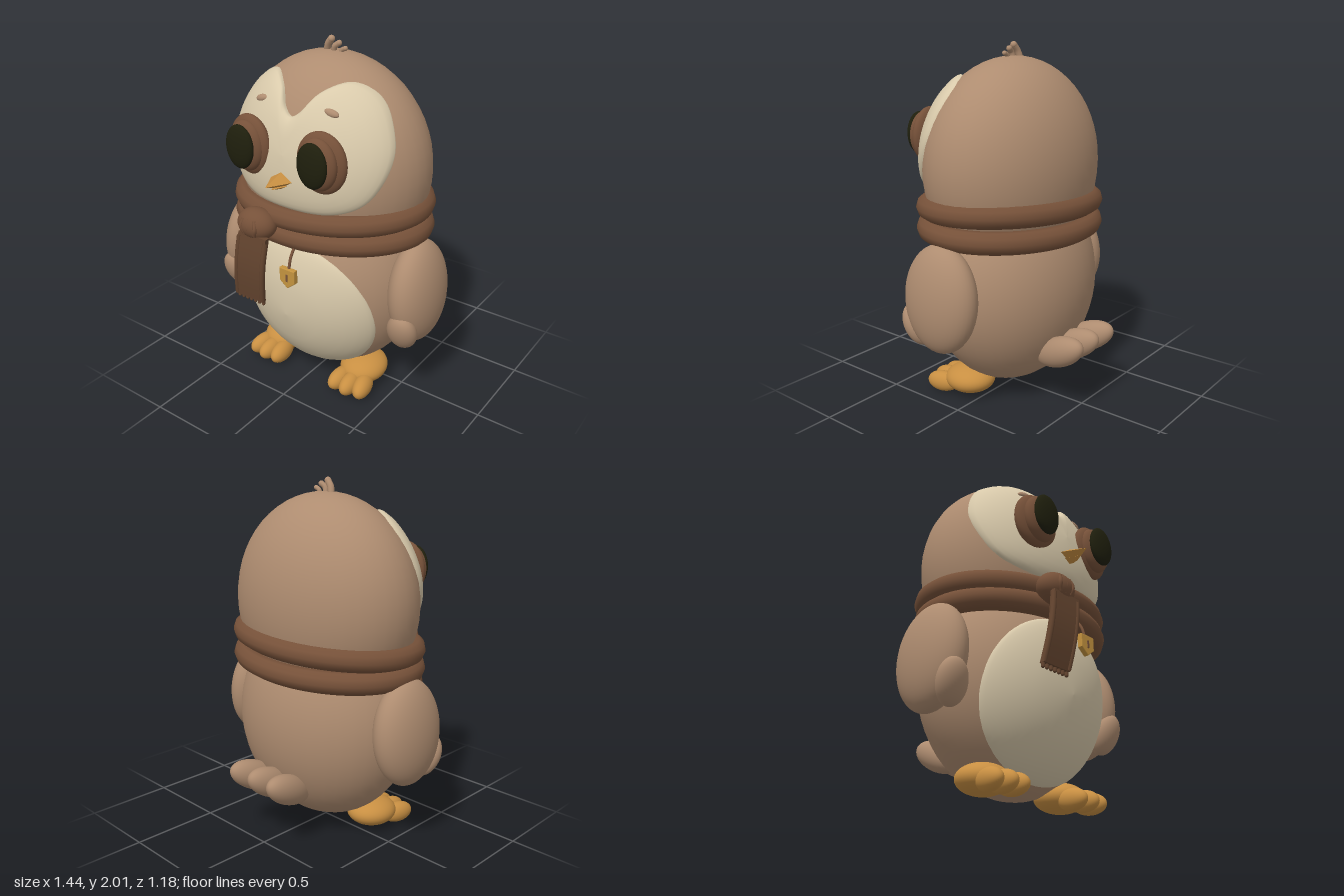
import * as THREE from 'three';

const mat = (name, color, side = THREE.FrontSide) => {
  const m = new THREE.MeshStandardMaterial({ color, side });
  m.name = name;
  return m;
};

export function createModel() {
  const root = new THREE.Group();
  root.name = 'owlChick';
  const brown = mat('featherBrown', 0xae8c70);
  const cream = mat('cream', 0xd9caab, THREE.DoubleSide);
  const scarfBrown = mat('scarfBrown', 0x765139);
  const tailBrown = mat('scarfTailBrown', 0x664630);
  const dark = mat('pupilDark', 0x1f1f0d);
  const orange = mat('orange', 0xc88f42);
  const gold = mat('gold', 0xc4933f);

  const add = (name, geo, material, parent = root) => {
    const mesh = new THREE.Mesh(geo, material);
    mesh.name = name;
    parent.add(mesh);
    return mesh;
  };
  const ball = (name, material, pos, radii, rot = [0, 0, 0], parent = root) => {
    const m = add(name, new THREE.SphereGeometry(1, 40, 28), material, parent);
    m.position.set(...pos);
    m.scale.set(...radii);
    m.rotation.set(...rot);
    return m;
  };
  const tube = (name, material, pts, radius, closed = false, seg = 24, parent = root) => {
    const curve = new THREE.CatmullRomCurve3(pts.map(p => new THREE.Vector3(...p)), closed);
    return add(name, new THREE.TubeGeometry(curve, seg, radius, 10, closed), material, parent);
  };

  // Raised patch: an outline (counter-clockwise from the front) laid over an ellipsoid
  const patch = (name, outline, mid, base, lift) => {
    const rings = [0.001, 0.2, 0.4, 0.55, 0.7, 0.82, 0.9, 0.95, 0.985, 1];
    const n = outline.length, pos = [], idx = [];
    const { y: cy, r: [a, b, c] } = base;
    rings.forEach((t, j) => {
      const h = lift * (t === 1 ? -0.2 : Math.sqrt(1 - t ** 6));
      outline.forEach((p, i) => {
        const x = mid.x + t * (p.x - mid.x), y = mid.y + t * (p.y - mid.y) - cy;
        const z = c * Math.sqrt(Math.max(0.01, 1 - (x / a) ** 2 - (y / b) ** 2));
        const nrm = new THREE.Vector3(x / a ** 2, y / b ** 2, z / c ** 2).normalize();
        pos.push(x + nrm.x * h, y + cy + nrm.y * h, z + nrm.z * h);
        if (j < rings.length - 1) {
          const k = (i + 1) % n, A = j * n, B = A + n;
          idx.push(A + i, B + i, B + k, A + i, B + k, A + k);
        }
      });
    });
    const g = new THREE.BufferGeometry();
    g.setAttribute('position', new THREE.Float32BufferAttribute(pos, 3));
    g.setIndex(idx);
    g.computeVertexNormals();
    return add(name, g, cream);
  };

  // Body and head
  const body = { y: 0.655, r: [0.56, 0.6, 0.443] };
  const head = { y: 1.33, r: [0.585, 0.6, 0.425] };
  ball('body', brown, [0, body.y, 0], body.r);
  ball('head', brown, [0, head.y, 0], head.r);

  // Belly and heart-shaped face
  const belly = new THREE.EllipseCurve(0, 0.53, 0.455, 0.43).getPoints(96).slice(0, -1);
  patch('belly', belly, new THREE.Vector2(0, 0.53), body, 0.022);
  const half = [[0.27, 1.185], [0.41, 1.25], [0.485, 1.37], [0.505, 1.52], [0.435, 1.7],
    [0.34, 1.795], [0.23, 1.832], [0.12, 1.782], [0.05, 1.69]];
  const heart = [[0, 1.17], ...half, [0, 1.66], ...half.map(([x, y]) => [-x, y]).reverse()];
  const faceLine = new THREE.CatmullRomCurve3(heart.map(([x, y]) => new THREE.Vector3(x, y, 0)), true);
  patch('face', faceLine.getPoints(140).slice(0, -1), new THREE.Vector2(0, 1.47), head, 0.036);

  // Mirrored parts: eyes, brows, wings, feet
  for (const s of [1, -1]) {
    const side = s > 0 ? 'left' : 'right';
    ball(side + 'EyeRim', scarfBrown, [s * 0.232, 1.48, 0.42], [0.143, 0.165, 0.056], [0, s * 0.1, 0]);
    ball(side + 'EyeRing', scarfBrown, [s * 0.232, 1.482, 0.455], [0.114, 0.138, 0.056]);
    ball(side + 'Pupil', dark, [s * 0.233, 1.49, 0.505], [0.09, 0.12, 0.035]);
    ball(side + 'Brow', brown, [s * 0.223, 1.71, 0.325], [0.042, 0.019, 0.015], [-0.5, s * 0.2, -s * 0.15]);
    ball(side + 'Wing', brown, [s * 0.588, 0.685, 0.022], [0.133, 0.3, 0.235], [0, 0, s * 0.06]);
    ball(side + 'WingFeather', brown, [s * 0.595, 0.505, 0.19], [0.088, 0.125, 0.066], [0.4, 0, -s * 0.2]);

    const foot = new THREE.Group();
    foot.name = side + 'Foot';
    foot.position.set(s * 0.288, 0, 0.08);
    foot.rotation.y = s * 0.06;
    root.add(foot);
    ball('footPad', orange, [0, 0.098, 0.01], [0.137, 0.083, 0.15], [0.05, 0, 0], foot);
    for (const k of [-1, 0, 1])
      ball('toe', orange, [k * 0.075, 0.06, 0.165 - 0.012 * Math.abs(k)], [0.053, 0.06, 0.1], [0.05, k * 0.15, 0], foot);
  }

  // Beak: two flattened four-sided cones
  const beak = (name, y, z, len, w, h) => {
    const g = new THREE.ConeGeometry(1, 1, 4).toNonIndexed();
    g.computeVertexNormals();
    g.rotateX(Math.PI / 2);
    const m = add(name, g, orange);
    m.scale.set(w, h, len);
    m.position.set(0, y, z);
  };
  beak('upperBeak', 1.345, 0.515, 0.14, 0.075, 0.048);
  beak('lowerBeak', 1.318, 0.485, 0.11, 0.05, 0.03);

  // Scarf wraps
  const wrap = (name, y, tilt, back) => {
    const pts = [];
    for (let i = 0; i < 32; i++) {
      const a = i / 32 * Math.PI * 2, x = 0.548 * Math.cos(a), z = 0.408 * Math.sin(a);
      pts.push([x, y + tilt * x - back * z, z + 0.008]);
    }
    tube(name, scarfBrown, pts, 0.062, true, 96);
  };
  wrap('upperScarfWrap', 1.118, 0.045, 0.025);
  wrap('lowerScarfWrap', 0.998, 0.028, -0.02);

  // Scarf knot with folds
  ball('scarfKnot', scarfBrown, [-0.155, 1.065, 0.485], [0.118, 0.088, 0.088]);
  for (const k of [-1, 0, 1])
    tube('knotFold', scarfBrown, [[-0.155 + k * 0.035, 1.11, 0.548], [-0.155 + k * 0.048, 1.065, 0.562],
      [-0.155 + k * 0.035, 1.02, 0.548]], 0.012);

  // Hanging scarf end, slanted and slightly bowed
  const bow = y => 0.515 + 0.06 * (y - 0.6) + 0.018 * Math.sin((y - 0.6) / 0.42 * Math.PI);
  const slant = y => -0.205 + (y - 0.6) * 0.155;
  const tailGeo = new THREE.BoxGeometry(0.19, 0.42, 0.03, 4, 12, 1);
  const tp = tailGeo.attributes.position;
  for (let i = 0; i < tp.count; i++) {
    const y = tp.getY(i) + 0.81;
    tp.setXYZ(i, tp.getX(i) + slant(y), y, tp.getZ(i) + bow(y) - 0.005);
  }
  tailGeo.computeVertexNormals();
  add('scarfEnd', tailGeo, tailBrown);
  for (const k of [-1, 1])
    tube('scarfEndHem', tailBrown, [0.605, 0.7, 0.8, 0.9, 1.0].map(y => [slant(y) + k * 0.09, y, bow(y)]), 0.016);
  for (let k = 0; k < 7; k++) {
    const f = add('fringe', new THREE.CapsuleGeometry(0.01, 0.025, 4, 8), tailBrown);
    f.position.set(-0.29 + k * 0.029, 0.595, 0.508);
  }

  // Pendant on a cord
  tube('pendantCord', scarfBrown, [[0.062, 0.97, 0.44], [0.062, 0.92, 0.475], [0.062, 0.85, 0.495]], 0.008);
  const shield = new THREE.Shape([[-0.046, 0.05], [-0.046, -0.02], [0, -0.056], [0.046, -0.02], [0.046, 0.05]]
    .map(p => new THREE.Vector2(...p)));
  const pendant = add('pendant', new THREE.ExtrudeGeometry(shield, { depth: 0.022, bevelSize: 0.004, bevelThickness: 0.004, bevelSegments: 2 }), gold);
  pendant.position.set(0.062, 0.808, 0.487);
  const slot = add('pendantSlot', new THREE.BoxGeometry(0.012, 0.042, 0.006), scarfBrown);
  slot.position.set(0.062, 0.81, 0.514);

  // Tail feathers
  for (const k of [-1, 0, 1])
    ball('tailFeather', brown, [k * 0.14, 0.35, -0.435], [0.073, 0.085, 0.175], [0.45, -k * 0.1, 0]);

  // Head tuft
  const tuft = [
    [[-0.05, 1.91, -0.01], [-0.035, 1.955, 0], [-0.01, 1.986, 0.005]],
    [[0, 1.915, 0], [0.012, 1.95, 0.005], [0.035, 1.968, 0]],
    [[0.045, 1.915, 0], [0.055, 1.935, 0], [0.075, 1.945, 0]]];
  tuft.forEach((pts, i) => {
    const r = 0.019 - i * 0.003;
    tube('tuftFeather', brown, pts, r);
    ball('tuftTip', brown, pts[2], [r, r, r]);
  });

  return root;
}
